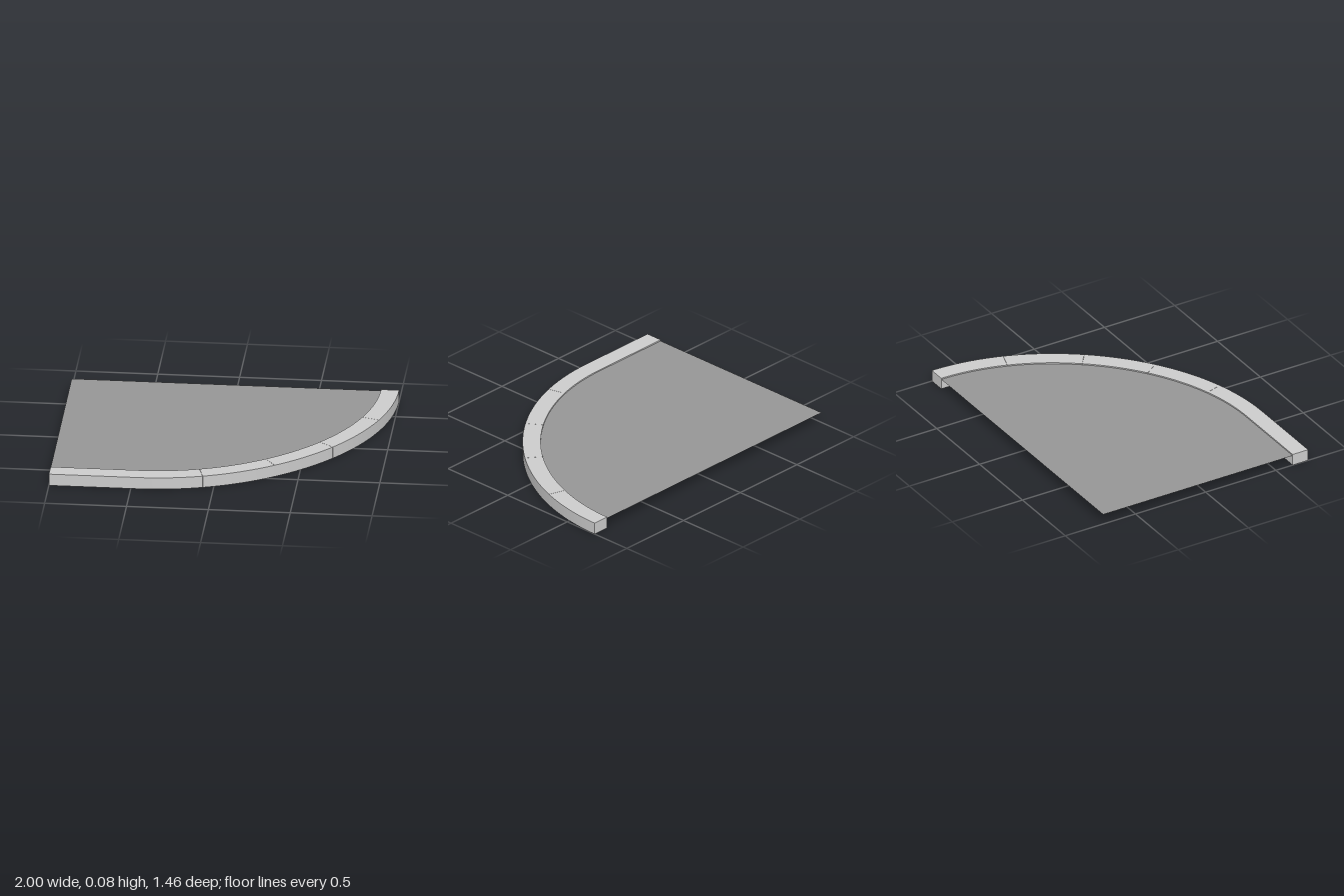
import * as THREE from 'three';
import { toCreasedNormals } from 'three/addons/utils/BufferGeometryUtils.js';

const CX = -0.46, CZ = -0.73;        // centre of the bend
const OUTER = 1.46, INNER = 1.35;    // kerb radii
const HEIGHT = 0.075, SLAB_Y = 0.067;
const HALF_GAP = 0.025;              // hairline joint between stones, in degrees

// Point on the bend, angle in degrees from the front; slightly flattened mid-bend
function bendPoint(radius, degrees) {
  const a = THREE.MathUtils.degToRad(degrees);
  const r = radius - 0.015 * Math.sin(2 * a) ** 2;
  return new THREE.Vector2(CX + r * Math.sin(a), CZ + r * Math.cos(a));
}

function arc(radius, from, to) {
  const steps = Math.ceil((to - from) / 1.5);
  return Array.from({ length: steps + 1 }, (_, i) => bendPoint(radius, from + (to - from) * i / steps));
}

// Plan outlines are drawn in x/z and laid flat
function kerbGeometry(outline) {
  const geometry = new THREE.ExtrudeGeometry(new THREE.Shape(outline), { depth: HEIGHT, bevelEnabled: false });
  geometry.rotateX(Math.PI / 2).translate(0, HEIGHT, 0);
  return toCreasedNormals(geometry, 0.5);
}

export function createModel() {
  const group = new THREE.Group();
  const kerbMaterial = new THREE.MeshStandardMaterial({ color: 0xc0c0c0 });
  const slabMaterial = new THREE.MeshStandardMaterial({ color: 0x959595, side: THREE.DoubleSide });
  const add = (name, geometry, material) => {
    const mesh = new THREE.Mesh(geometry, material);
    mesh.name = name;
    group.add(mesh);
  };

  // Kerb stones, the first one with the straight run
  const joints = [0, 15.7, 34.2, 52, 71.6, 90];
  const last = joints.length - 2;
  for (let i = 0; i <= last; i++) {
    const from = joints[i] + (i > 0 ? HALF_GAP : 0);
    const to = joints[i + 1] - (i < last ? HALF_GAP : 0);
    const outer = arc(OUTER, from, to);
    const inner = arc(INNER, from, to);
    if (i === 0) {
      outer.unshift(new THREE.Vector2(-1, CZ + OUTER));
      inner.unshift(new THREE.Vector2(-1, CZ + INNER));
    }
    add('kerbStone' + (i + 1), kerbGeometry([...outer, ...inner.reverse()]), kerbMaterial);
  }

  // Thin paved surface inside the kerb
  const slab = new THREE.ShapeGeometry(new THREE.Shape([
    new THREE.Vector2(-1, CZ),
    new THREE.Vector2(-1, CZ + INNER),
    ...arc(INNER, 0, 90),
  ]));
  // Lay flat, then reverse the corners so it faces up
  slab.rotateX(Math.PI / 2).translate(0, SLAB_Y, 0);
  const index = slab.index.array;
  for (let i = 0; i < index.length; i += 3) [index[i], index[i + 1]] = [index[i + 1], index[i]];
  slab.computeVertexNormals();
  add('pavedSurface', slab, slabMaterial);

  return group;
}
